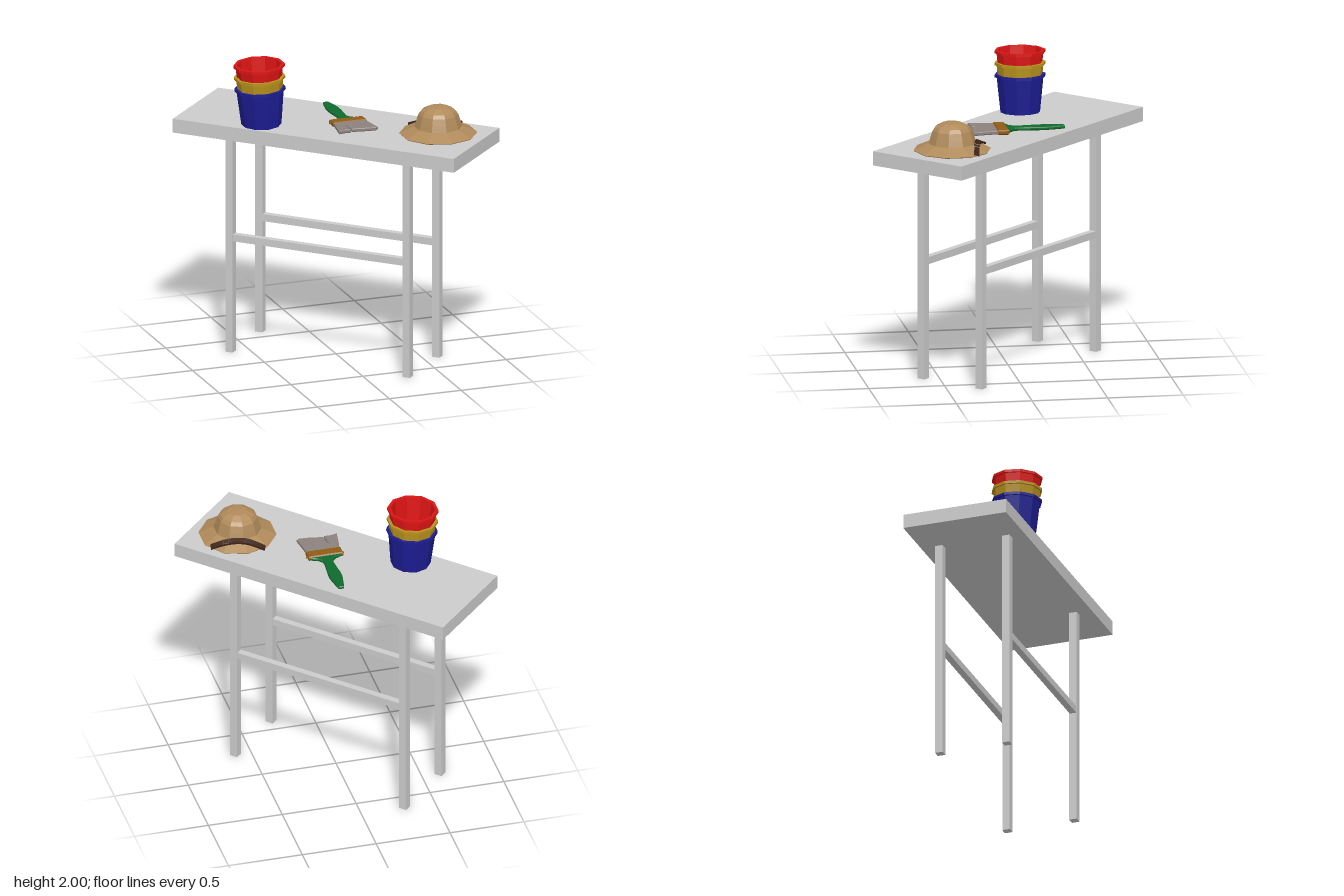
import * as THREE from 'three';

const TOP = 1.585; // height of the table top

function mat(color) {
  return new THREE.MeshStandardMaterial({ color, flatShading: true });
}

function add(parent, name, geometry, material, x = 0, y = 0, z = 0) {
  const mesh = new THREE.Mesh(geometry, material);
  mesh.name = name;
  mesh.position.set(x, y, z);
  parent.add(mesh);
  return mesh;
}

const lathe = (pts, sides) =>
  new THREE.LatheGeometry(pts.map(([r, y]) => new THREE.Vector2(r, y)), sides);

// Flat outline in the x/z plane with a bevelled thickness, centred on y = 0
function slab(pts, thickness, bevel) {
  const shape = new THREE.Shape(pts.map(([x, z]) => new THREE.Vector2(x, z)));
  const g = new THREE.ExtrudeGeometry(shape, {
    depth: thickness - 2 * bevel, bevelEnabled: bevel > 0, bevelSegments: 1,
    bevelThickness: bevel, bevelSize: bevel, bevelOffset: -bevel,
  });
  g.translate(0, 0, -(thickness / 2 - bevel));
  return g.rotateX(Math.PI / 2);
}

function makeTable() {
  const table = new THREE.Group();
  table.name = 'table';
  const grey = mat(0xcccccc);
  add(table, 'tableTop', new THREE.BoxGeometry(2.02, 0.095, 0.715), grey, 0, TOP - 0.0475, 0);
  const a = 0.636, b = 0.233, off = -0.014;
  for (const sz of [-1, 1]) {
    for (const sx of [-1, 1]) {
      add(table, 'leg', new THREE.BoxGeometry(0.052, 1.49, 0.052), grey, off + sx * a, 0.745, sz * b);
    }
    add(table, 'stretcher', new THREE.BoxGeometry(2 * a - 0.052, 0.048, 0.045), grey, off, 0.788, sz * b);
  }
  table.rotation.y = -Math.PI / 4;
  return table;
}

function makeBuckets() {
  const stack = new THREE.Group();
  stack.name = 'bucketStack';
  const geometry = lathe([
    [0, 0], [0.131, 0], [0.155, 0.235], [0.168, 0.235], [0.168, 0.253],
    [0.146, 0.253], [0.126, 0.02], [0.108, 0.012], [0, 0.012],
  ], 10);
  const colors = { blueBucket: 0x1c1c92, yellowBucket: 0xb8921c, redBucket: 0xdc1414 };
  Object.entries(colors).forEach(([name, color], i) => {
    add(stack, name, geometry, mat(color), 0, i * 0.08, 0);
  });
  stack.position.set(-0.462, TOP, -0.155);
  stack.rotation.z = 0.04;
  return stack;
}

function makeHat() {
  const hat = new THREE.Group();
  hat.name = 'hat';
  add(hat, 'brimAndCrown', lathe([
    [0, 0.002], [0.1, 0.002], [0.252, 0.01], [0.256, 0.015], [0.157, 0.06],
    [0.145, 0.1], [0.13, 0.145], [0.112, 0.168], [0.065, 0.192], [0, 0.196],
  ], 10), mat(0xb08a5a));

  // Strap laid over the back of the brim, following its slope
  const brimY = (x, z) => {
    const t = (0.256 - Math.hypot(x, z)) / 0.099;
    return 0.015 + 0.045 * Math.min(Math.max(t, -0.1), 1);
  };
  const path = new THREE.CatmullRomCurve3([
    [-0.125, -0.228], [-0.03, -0.182], [0.05, -0.158], [0.115, -0.145], [0.215, -0.128],
  ].map(([x, z]) => new THREE.Vector3(x, 0, z)));
  const strap = new THREE.BoxGeometry(1, 0.014, 0.034, 16, 1, 1);
  const p = strap.attributes.position;
  for (let i = 0; i < p.count; i++) {
    const u = p.getX(i) + 0.5;
    const c = path.getPoint(u), t = path.getTangent(u), w = p.getZ(i);
    const x = c.x - t.z * w, z = c.z + t.x * w;
    p.setXYZ(i, x, brimY(x, z) + 0.006 + p.getY(i), z);
  }
  add(hat, 'strap', strap, mat(0x3c2216));

  // Square buckle frame
  const buckle = new THREE.TorusGeometry(0.026, 0.003, 4, 4).rotateZ(Math.PI / 4).rotateX(-Math.PI / 2);
  const frame = add(hat, 'buckle', buckle, mat(0x6b5a45), 0.118, brimY(0.118, -0.145) + 0.014, -0.145);
  frame.rotation.set(-0.25, -0.18, -0.25);

  hat.position.set(0.543, TOP, 0.455);
  return hat;
}

function makeBrush() {
  const brush = new THREE.Group();
  brush.name = 'paintBrush';
  // Handle outline is given for one side and mirrored
  const half = [[0.018, -0.365], [0.026, -0.33], [0.043, -0.235], [0.042, -0.18],
    [0.031, -0.06], [0.036, -0.03], [0.06, -0.005], [0.105, 0.015], [0.11, 0.03]];
  const outline = [...half, ...half.map(([x, z]) => [-x, z]).reverse()];
  add(brush, 'handle', slab(outline, 0.022, 0.006), mat(0x0f6b2e), 0, 0.02, 0);

  const brass = mat(0x8f5c14);
  add(brush, 'ferrule', slab([[-0.118, 0.018], [0.118, 0.018], [0.118, 0.095], [-0.118, 0.095]], 0.034, 0.008),
    brass, 0, 0.022, 0);
  for (const x of [-0.09, -0.03, 0.03, 0.09]) {
    add(brush, 'rivet', new THREE.CylinderGeometry(0.006, 0.006, 0.038, 6), brass, x, 0.022, 0.034);
  }
  for (const s of [-1, 1]) {
    add(brush, 'sideRivet', new THREE.CylinderGeometry(0.006, 0.006, 0.014, 6).rotateZ(Math.PI / 2),
      brass, s * 0.12, 0.022, 0.045);
  }

  // Bristles fan out and part in the middle
  add(brush, 'bristles', slab([
    [-0.112, 0.09], [0.112, 0.09], [0.122, 0.17], [0.135, 0.25], [0.12, 0.263], [0.06, 0.258],
    [-0.04, 0.24], [-0.054, 0.14], [-0.05, 0.25], [-0.09, 0.248], [-0.138, 0.257], [-0.125, 0.17],
  ], 0.024, 0.005), mat(0x8c827e), 0, 0.022, 0);

  brush.position.set(0.063, TOP, 0);
  return brush;
}

export function createModel() {
  const model = new THREE.Group();
  model.name = 'tableWithBeachThings';
  model.add(makeTable(), makeBuckets(), makeHat(), makeBrush());
  return model;
}
